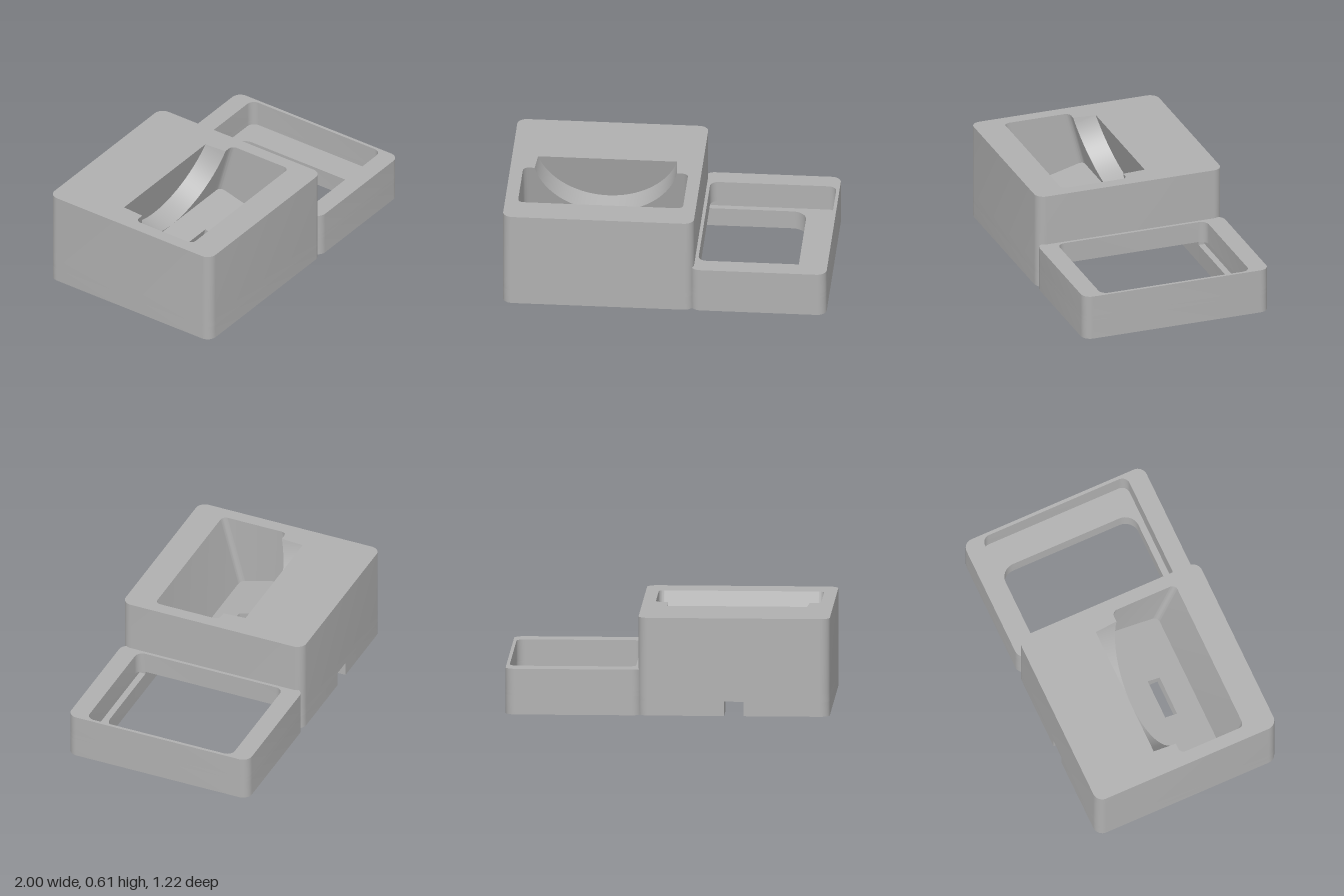
import * as THREE from 'three';
import { toCreasedNormals } from 'three/addons/utils/BufferGeometryUtils.js';

const V2 = (x, z) => new THREE.Vector2(x, z);
const V3 = (x, y, z) => new THREE.Vector3(x, y, z);
const SEG = 8; // segments per rounded corner

// Plan loop (x, z): front right, front left, back left, back right corner
function roundRect(x0, x1, z0, z1, rLeft, rRight = rLeft) {
  const pts = [];
  const corner = (cx, cz, r, start) => {
    if (r === 0) { pts.push(V2(cx, cz)); return; }
    const ox = cx === x0 ? cx + r : cx - r;
    const oz = cz === z0 ? cz + r : cz - r;
    for (let i = 0; i <= SEG; i++) {
      const a = start + (i / SEG) * Math.PI / 2;
      pts.push(V2(ox + r * Math.cos(a), oz + r * Math.sin(a)));
    }
  };
  corner(x1, z1, rRight, 0);
  corner(x0, z1, rLeft, Math.PI / 2);
  corner(x0, z0, rLeft, Math.PI);
  corner(x1, z0, rRight, Math.PI * 1.5);
  return pts;
}

function makeShape(loop, holes = []) {
  const shape = new THREE.Shape(loop);
  holes.forEach(h => shape.holes.push(new THREE.Path(h)));
  return shape;
}

// Solid slab with a plan outline between two heights
function slab(loop, holes, y0, y1) {
  const g = new THREE.ExtrudeGeometry(makeShape(loop, holes), { depth: y1 - y0, bevelEnabled: false });
  g.rotateX(Math.PI / 2).translate(0, y1, 0);
  return toCreasedNormals(g, 0.5);
}

// Single face with a plan outline, its height given by a rule
function face(loop, holes, heightAt, up) {
  const g = new THREE.ShapeGeometry(makeShape(loop, holes));
  const p = g.attributes.position;
  for (let i = 0; i < p.count; i++) {
    const z = p.getY(i);
    p.setXYZ(i, p.getX(i), heightAt(z), z);
  }
  if (up) g.index.array.reverse();
  g.computeVertexNormals();
  return g;
}

// Skin between two matching rows of points
function loft(a, b, closed) {
  const g = new THREE.BufferGeometry().setFromPoints([...a, ...b]);
  const n = a.length, index = [];
  for (let i = 0; i < (closed ? n : n - 1); i++) {
    const j = (i + 1) % n;
    index.push(i, j, n + j, i, n + j, n + i);
  }
  g.setIndex(index);
  return toCreasedNormals(g, 0.5);
}

export function createModel() {
  const group = new THREE.Group();
  const grey = new THREE.MeshStandardMaterial({ color: 0xb0b0b0, side: THREE.DoubleSide });
  grey.name = 'plain grey';
  const add = (name, geometry) => {
    const mesh = new THREE.Mesh(geometry, grey);
    mesh.name = name;
    group.add(mesh);
  };

  const H = 0.61, CEIL = 0.15, NOTCH = 0.09, SHELF = 0.12, TRAY = 0.285;
  const CX = -0.41; // centre line of pocket, slot and cable notch
  const at = (loop, y) => loop.map(p => V3(p.x, y, p.y));

  // Lower walls of the block, open underneath and towards the tray
  const outer = roundRect(-1, 0.18, -0.61, 0.61, 0.06);
  const inner = roundRect(-0.8, 0.18, -0.45, 0.45, 0.08, 0).reverse();
  const BACK = 3 * (SEG + 1); // loop index where the back right corner starts
  const n0 = CX - 0.06, n1 = CX + 0.06;
  add('blockBaseWall', slab([...outer, ...inner], [], NOTCH, CEIL));
  add('blockFootMain', slab([...outer.slice(0, BACK), V2(n0, -0.61), V2(n0, -0.45),
    ...inner.slice(1)], [], 0, NOTCH));
  add('blockFootBesideNotch', slab([V2(n1, -0.61), ...outer.slice(BACK),
    V2(0.18, -0.45), V2(n1, -0.45)], [], 0, NOTCH));
  add('blockOuterWall', loft(at(outer, H), at(outer, CEIL), true));

  // Tilted pocket: its sides run down along a direction leaning backwards
  const tilt = Math.PI / 12, sin = Math.sin(tilt), cos = Math.cos(tilt), tan = Math.tan(tilt);
  const zFront = 0.42, zBack = -0.01, depth = 0.464;
  const along = (x, z, t) => V3(x, H - t * cos, z - t * sin);
  const floorT = z => depth - (zFront - z) * sin;
  const floorY = z => H - depth * cos + (zFront - depth * sin - z) * tan;

  // Round scoop behind the pocket, tangent to the pocket floor
  const half = 0.44, scoop = 0.14, sag = floorT(zBack);
  const R = (half * half + sag * sag) / (2 * sag);
  const arcT = dx => Math.max(0, sag - R + Math.sqrt(R * R - dx * dx));
  const clip = Math.sqrt(R * R - (scoop * tan + R - sag) ** 2);
  const dxs = [-half];
  for (let i = 0; i <= 40; i++) dxs.push(-clip * Math.cos(Math.PI * i / 40));
  dxs.push(half);
  const arcIn = dxs.map(dx => along(CX + dx, zBack, arcT(dx)));
  const arcOut = arcIn.map(p => {
    const s = Math.min(scoop, (H - p.y) / sin);
    return V3(p.x, p.y + s * sin, p.z - s * cos);
  });
  const arcTop = arcOut.map(p => V3(p.x, H, p.z + (H - p.y) * tan));
  add('scoopCurve', loft(arcIn, arcOut, false));
  add('scoopBack', loft(arcOut, arcTop, false));

  // Pocket walls, cut away at the back by the scoop
  const mouth = roundRect(-0.92, 0.1, zBack, zFront, 0.035);
  const front = mouth.slice(0, BACK), rest = mouth.slice(BACK);
  const rim = [...at(front, H), ...arcIn, ...at(rest, H)];
  const plan = [...front, ...dxs.map(dx => V2(CX + dx, zBack)), ...rest];
  const foot = plan.map(p => along(p.x, p.y, floorT(p.y)));
  add('pocketWalls', loft(foot, rim, true));
  add('blockTop', face(outer, [[...front, ...arcTop.map(p => V2(p.x, p.z)), ...rest]], () => H, true));

  // Pocket floor with a leaning connector slot through to the cavity
  const slot = roundRect(-0.54, -0.28, 0.06, 0.14, 0);
  const slotLow = slot.map(p => V2(p.x, p.y - (floorY(p.y) - CEIL) * tan));
  add('pocketFloor', face(mouth.map(p => V2(p.x, p.y - floorT(p.y) * sin)), [slot], floorY, true));
  add('connectorSlot', loft(at(slotLow, CEIL), slot.map(p => V3(p.x, floorY(p.y), p.y)), true));
  add('cavityCeiling', face([...inner], [slotLow], () => CEIL, false));

  // Side tray: base walls, shelf level and upper rim
  const mirrorX = loop => loop.map(p => V2(-p.x, p.y));
  const trayOuter = roundRect(0.16, 1, -0.61, 0.61, 0.06);
  const openTray = (x1, z, r) => mirrorX([
    ...roundRect(-1, -0.16, -0.61, 0.61, 0.06),
    ...roundRect(-x1, -0.16, -z, z, r, 0).reverse()]);
  add('trayBase', slab(openTray(0.8, 0.45, 0.09), [], 0, SHELF));
  add('trayShelfWall', slab(openTray(0.98, 0.49, 0.05), [], SHELF, CEIL));
  add('trayRim', slab(trayOuter, [roundRect(0.2, 0.98, -0.49, 0.49, 0.05)], CEIL, TRAY));

  return group;
}
